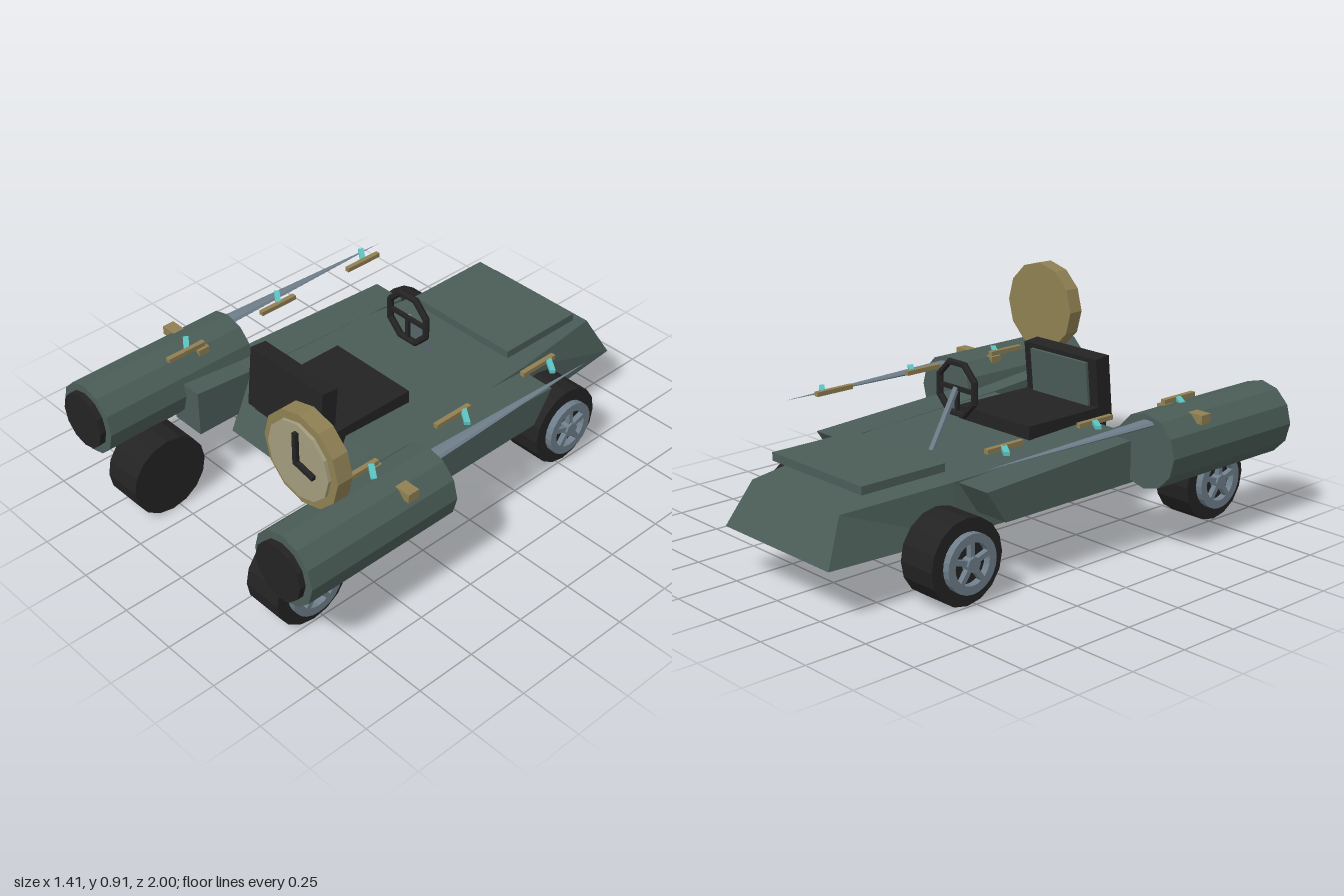
import * as THREE from 'three';

const mat = (name, color, flatShading = true) => {
  const m = new THREE.MeshStandardMaterial({ color, flatShading });
  m.name = name;
  return m;
};

export function createModel() {
  const green = mat('dark green paint', 0x4b5d58);
  const black = mat('black rubber', 0x232323);
  const steel = mat('blue grey steel', 0x6e7e8a);
  const brass = mat('brass', 0x8f8053);
  const cream = mat('clock face cream', 0xa39c7e);
  const cyan = mat('cyan', 0x5cc4c4);

  const root = new THREE.Group();
  const add = (parent, name, geo, material, x = 0, y = 0, z = 0) => {
    const mesh = new THREE.Mesh(geo, material);
    mesh.name = name;
    mesh.position.set(x, y, z);
    parent.add(mesh);
    return mesh;
  };
  const group = (name, x = 0, y = 0, z = 0) => {
    const g = new THREE.Group();
    g.name = name;
    g.position.set(x, y, z);
    root.add(g);
    return g;
  };
  const box = (w, h, d) => new THREE.BoxGeometry(w, h, d);
  // cylinder lying along z, or along x
  const discZ = (r, d, n) => new THREE.CylinderGeometry(r, r, d, n).rotateX(Math.PI / 2);
  const discX = (r, d, n) => new THREE.CylinderGeometry(r, r, d, n).rotateZ(Math.PI / 2);

  // Body: loft of four-cornered sections from nose to tail
  // [bottom z, bottom half width, top z, top half width, top y]
  const sections = [
    [-1, 0.305, -0.91, 0.255, 0.37],
    [-0.45, 0.345, -0.45, 0.325, 0.4],
    [-0.15, 0.35, -0.15, 0.348, 0.413],
    [0.465, 0.345, 0.36, 0.345, 0.435],
  ];
  const pos = [], idx = [];
  for (const [bz, bw, tz, tw, ty] of sections) {
    pos.push(-bw, 0.2, bz, bw, 0.2, bz, tw, ty, tz, -tw, ty, tz);
  }
  for (let s = 0; s < sections.length - 1; s++) {
    for (let k = 0; k < 4; k++) {
      const a = s * 4 + k, b = s * 4 + (k + 1) % 4;
      idx.push(a, b, b + 4, a, b + 4, a + 4);
    }
  }
  const e = (sections.length - 1) * 4;
  idx.push(0, 2, 1, 0, 3, 2, e, e + 1, e + 2, e, e + 2, e + 3);
  const bodyGeo = new THREE.BufferGeometry();
  bodyGeo.setAttribute('position', new THREE.Float32BufferAttribute(pos, 3));
  bodyGeo.setIndex(idx);
  const bodyFlat = bodyGeo.toNonIndexed();
  bodyFlat.computeVertexNormals();
  add(root, 'body', bodyFlat, green);

  add(root, 'hoodPanel', box(0.52, 0.032, 0.38), green, 0, 0.436, -0.625);

  // Seat
  const seat = group('seat');
  add(seat, 'seatCushion', box(0.4, 0.09, 0.42), black, 0, 0.43, 0.25);
  const back = add(seat, 'seatBack', box(0.4, 0.25, 0.072), black, 0, 0.55, 0.443);
  back.rotation.x = -0.1;
  add(back, 'seatBackPanel', box(0.31, 0.19, 0.016), green, 0, 0.012, -0.04);

  // Steering wheel and column
  const steering = group('steering', 0, 0.62, -0.145);
  add(steering, 'steeringWheel',
    new THREE.TorusGeometry(0.106, 0.014, 6, 8).rotateZ(Math.PI / 8), black);
  add(steering, 'steeringCrossbar', box(0.2, 0.016, 0.014), black);
  add(steering, 'steeringSpoke', box(0.016, 0.1, 0.014), black, 0, -0.05, 0);
  const column = add(steering, 'steeringColumn',
    new THREE.CylinderGeometry(0.013, 0.013, 0.26, 6), steel, 0, -0.11, -0.068);
  column.rotation.x = Math.atan2(0.125, 0.22);

  // Wheel, with its rim on the outer side
  const addWheel = (name, side, z) => {
    const wheel = group(name, side * 0.409, 0.167, z);
    add(wheel, 'tyre', discX(0.165, 0.165, 16), black);
    const ring = new THREE.Shape().absarc(0, 0, 0.113, 0, Math.PI * 2);
    ring.holes.push(new THREE.Path().absarc(0, 0, 0.08, 0, Math.PI * 2, true));
    const ringGeo = new THREE.ExtrudeGeometry(ring,
      { depth: 0.03, bevelEnabled: false, curveSegments: 12 });
    ringGeo.translate(0, 0, -0.015).rotateY(Math.PI / 2);
    add(wheel, 'rimRing', ringGeo, steel, side * 0.096);
    add(wheel, 'rimHub', discX(0.03, 0.04, 8), steel, side * 0.1);
    for (let i = 0; i < 5; i++) {
      const spoke = box(0.022, 0.075, 0.02).translate(0, 0.055, 0);
      add(wheel, 'rimSpoke', spoke, steel, side * 0.1).rotation.x = i * Math.PI * 2 / 5;
    }
  };

  // Side pod outline in z and y, extruded across x
  const podShape = new THREE.Shape([
    [-0.35, 0.268], [0.62, 0.268], [0.62, 0.46], [0.36, 0.438], [-0.44, 0.4],
  ].map(([z, y]) => new THREE.Vector2(z, y)));
  const podGeo = new THREE.ExtrudeGeometry(podShape, { depth: 0.15, bevelEnabled: false });
  podGeo.translate(0, 0, -0.075).rotateY(-Math.PI / 2);

  for (const side of [-1, 1]) {
    const s = side > 0 ? 'left' : 'right';
    addWheel(s + 'NoseWheel', side, -0.535);
    addWheel(s + 'TailWheel', side, 0.785);
    add(root, s + 'SidePod', podGeo, green, side * 0.415);

    // Engine tube, nozzle, cross block and long spike
    const engine = group(s + 'Engine', side * 0.56, 0.41, 0);
    add(engine, 'engineTube', discZ(0.147, 0.68, 12), green, 0, 0, 0.63);
    add(engine, 'nozzle', discZ(0.115, 0.03, 12), black, 0, 0, 0.98);
    add(engine, 'crossBlock', box(0.225, 0.036, 0.05), brass, side * 0.015, 0.113, 0.485);
    const spike = new THREE.ConeGeometry(0.034, 0.86, 8).rotateX(-Math.PI / 2);
    spike.scale(1, 0.4, 1);
    add(engine, 'spike', spike, steel, side * 0.013, 0.112, -0.1);

    // Brass rails, each with a slanted cyan bar
    for (const z of [-0.355, 0.098, 0.555]) {
      add(root, 'rail', box(0.02, 0.018, 0.172), brass, side * 0.485, 0.55, z);
      const bar = add(root, 'slantedBar', box(0.08, 0.014, 0.022), cyan,
        side * 0.522, 0.552, z - 0.03);
      bar.rotation.y = -0.62;
    }
  }

  // Clock standing on one engine
  const clock = group('clock', 0.455, 0.72, 0);
  add(clock, 'clockCase', discZ(0.187, 0.066, 12), brass, 0, 0, 0.757);
  add(clock, 'clockFace', discZ(0.154, 0.014, 12), cream, 0, 0, 0.796);
  const addHand = (name, length, angle) => {
    const hand = box(0.018, length, 0.016).translate(0, length / 2 - 0.006, 0);
    add(clock, name, hand, black, 0, 0, 0.811).rotation.z = angle;
  };
  addHand('minuteHand', 0.13, 0);
  addHand('hourHand', 0.097, -Math.PI / 2 - 0.2);

  return root;
}
